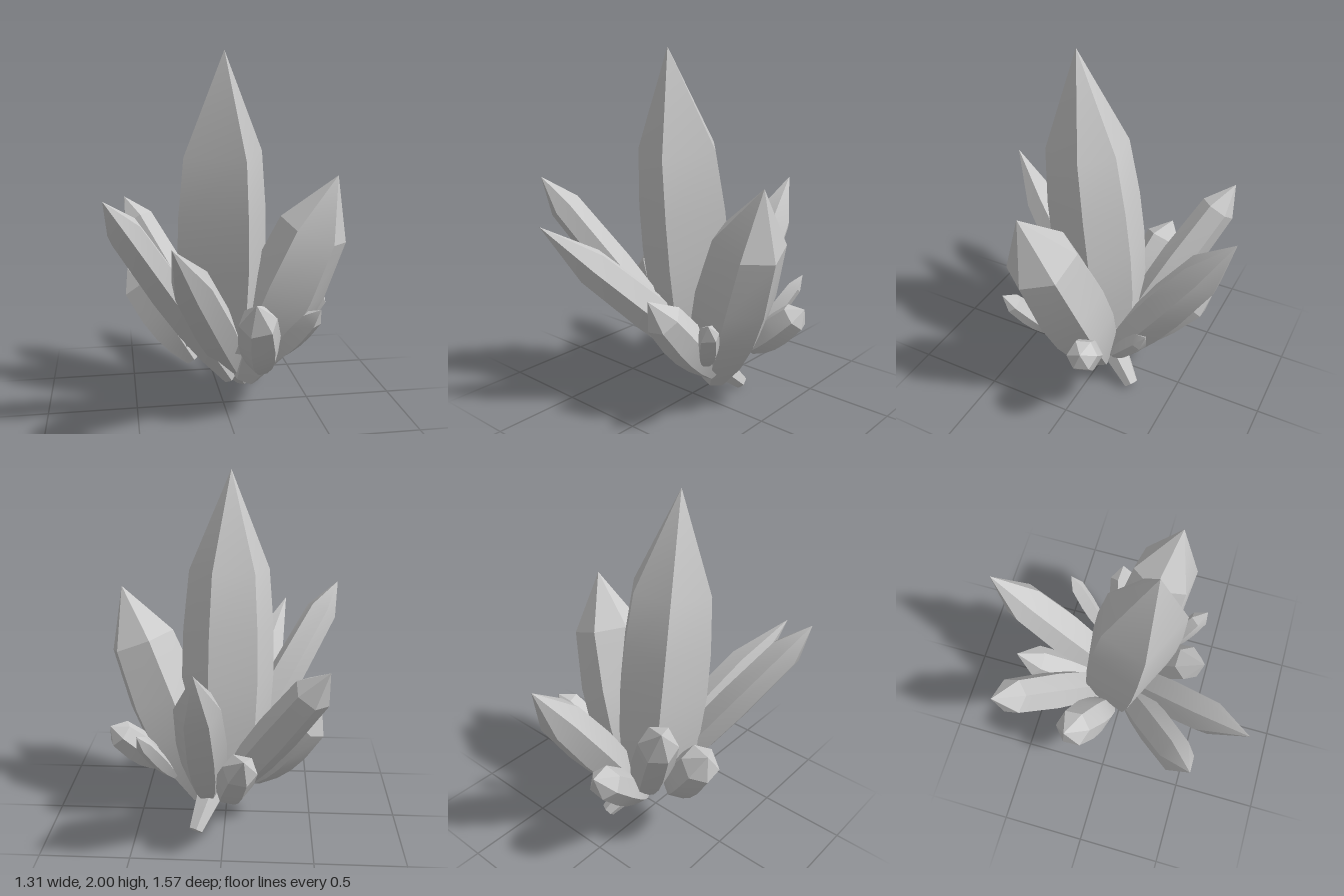
import * as THREE from 'three';
import { toCreasedNormals } from 'three/addons/utils/BufferGeometryUtils.js';

const material = new THREE.MeshStandardMaterial({ color: 0xcccccc, side: THREE.DoubleSide });

// Corner angles (degrees) of the slightly uneven cross-sections
const FIVE = [-15, 67, 163, 232, 292];
const SIX = [0, 56, 122, 180, 238, 300];

// Body profiles: [fraction of the way to the shoulder, fraction of full radius]
const SLIM = [[0, 0.36], [0.22, 0.75], [0.42, 0.94], [0.65, 1], [1, 0.88]];
const STOUT = [[0, 0.82], [0.22, 0.95], [0.45, 1], [0.7, 0.97], [1, 0.85]];

// Tapered prism with a pointed end, running from base to tip
function crystal(name, base, tip, radius, shoulder, angles, turn, profile = SLIM) {
  const from = new THREE.Vector3(...base);
  const axis = new THREE.Vector3(...tip).sub(from);
  const length = axis.length();
  const n = angles.length;
  const pos = [];
  const index = [];

  // Rings along the body
  for (const [t, r] of profile) {
    for (const deg of angles) {
      const a = THREE.MathUtils.degToRad(deg + turn);
      pos.push(Math.cos(a) * r * radius, t * shoulder * length, Math.sin(a) * r * radius);
    }
  }
  const tipId = pos.length / 3;
  pos.push(0, length, 0, 0, 0, 0);

  const top = (profile.length - 1) * n;
  for (let i = 0; i < n; i++) {
    const j = (i + 1) % n;
    for (let a = 0; a < top; a += n) {
      const b = a + n;
      index.push(a + i, b + i, a + j, b + i, b + j, a + j);
    }
    index.push(top + i, tipId, top + j); // point
    index.push(tipId + 1, i, j); // base cap
  }

  const geometry = new THREE.BufferGeometry();
  geometry.setAttribute('position', new THREE.Float32BufferAttribute(pos, 3));
  geometry.setIndex(index);

  // Smooth along the length, sharp across the long edges
  const mesh = new THREE.Mesh(toCreasedNormals(geometry, 0.4), material);
  mesh.name = name;
  mesh.position.copy(from);
  mesh.quaternion.setFromUnitVectors(new THREE.Vector3(0, 1, 0), axis.normalize());
  return mesh;
}

export function createModel() {
  const group = new THREE.Group();
  group.name = 'crystalCluster';

  // name, base, tip, radius, shoulder fraction, section, turn, profile
  const crystals = [
    ['mainCrystal', [-0.01, 0.39, -0.01], [-0.02, 2, 0.17], 0.268, 0.67, FIVE, 0, STOUT],
    ['leftLargeCrystal', [0.13, 0.14, -0.04], [0.6, 1.35, 0.17], 0.222, 0.75, SIX, 10],
    ['backLongCrystal', [0.1, 0.15, -0.08], [0.11, 1.2, -0.79], 0.133, 0.77, SIX, 0],
    ['backRightLongCrystal', [0.02, 0.16, -0.08], [-0.53, 1.14, -0.57], 0.115, 0.86, SIX, 20],
    ['frontRightLongCrystal', [0.04, 0.14, -0.04], [-0.65, 1.3, 0.52], 0.105, 0.86, SIX, 20],
    ['frontLongCrystal', [0.16, 0.03, -0.26], [-0.35, 1.12, 0.78], 0.12, 0.78, SIX, 30],
    ['rightShortCrystal', [-0.17, 0.26, -0.05], [-0.53, 0.78, -0.2], 0.123, 0.82, SIX, 25],
    ['backShortCrystal', [-0.01, 0.17, -0.12], [-0.12, 0.68, -0.63], 0.105, 0.8, SIX, 5],
    ['backLeftThinCrystal', [0.28, 0.35, -0.2], [0.44, 0.72, -0.46], 0.052, 0.82, FIVE, 40],
    ['leftShortCrystal', [0.35, 0.36, -0.09], [0.635, 0.64, -0.18], 0.093, 0.82, SIX, 10],
    ['frontLeftThinCrystal', [0.27, 0.35, 0.2], [0.455, 0.68, 0.41], 0.064, 0.8, FIVE, 20],
    ['frontShortCrystal', [0.21, 0.23, 0.08], [0.1, 0.74, 0.47], 0.118, 0.76, SIX, 0],
  ];
  for (const c of crystals) group.add(crystal(...c));
  return group;
}
